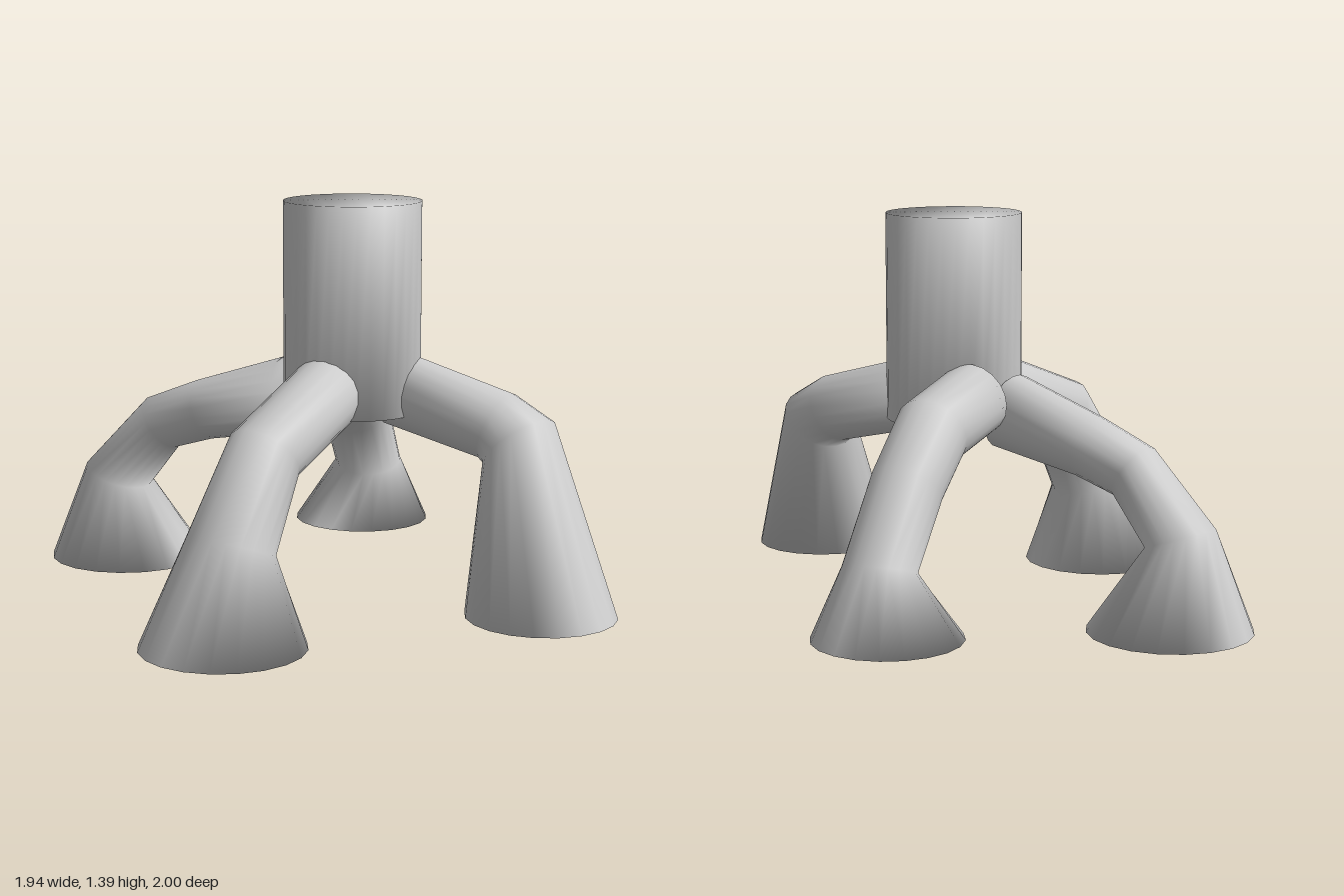
import * as THREE from 'three';

const material = new THREE.MeshStandardMaterial({ color: 0xcccccc });
const DOWN = new THREE.Vector3(0, -1, 0);

// Closed tube through rings [x, y, z, radius]; the last ring lies flat on the ground plane.
// Caps share the rim vertices, so shading stays soft across the edges.
function ringTube(name, rings, sides) {
  const centres = rings.map(([x, y, z]) => new THREE.Vector3(x, y, z));
  const last = rings.length - 1;
  const direction = (i) => centres[i + 1].clone().sub(centres[i]).normalize();
  const normals = centres.map((_, i) => {
    if (i === 0) return direction(0);
    if (i === last) return DOWN.clone();
    return direction(i - 1).add(direction(i)).normalize();
  });

  const positions = [];
  const index = [];

  // A frame carried along the path with the least twist
  let u = new THREE.Vector3(0, 0, 1).cross(normals[0]);
  if (u.length() < 0.1) u.set(1, 0, 0);
  u.normalize();
  const turn = new THREE.Quaternion();
  rings.forEach(([, , , radius], k) => {
    if (k > 0) u.applyQuaternion(turn.setFromUnitVectors(normals[k - 1], normals[k]));
    const v = normals[k].clone().cross(u);
    for (let i = 0; i < sides; i++) {
      const a = (i / sides) * Math.PI * 2;
      const p = centres[k].clone()
        .addScaledVector(u, radius * Math.cos(a))
        .addScaledVector(v, radius * Math.sin(a));
      positions.push(p.x, p.y, p.z);
    }
  });

  // Wall
  for (let k = 0; k < last; k++) {
    for (let i = 0; i < sides; i++) {
      const j = (i + 1) % sides;
      const a = k * sides + i, b = k * sides + j;
      index.push(a, b, b + sides, a, b + sides, a + sides);
    }
  }
  // Flat caps, filled by a zigzag strip between rim vertices
  const cap = (base, flip) => {
    const tri = (a, b, c) => index.push(base + a, base + (flip ? c : b), base + (flip ? b : c));
    let lo = 0, hi = sides - 1;
    while (hi - lo > 1) {
      tri(lo, lo + 1, hi);
      lo++;
      if (hi - lo > 1) {
        tri(lo, hi - 1, hi);
        hi--;
      }
    }
  };
  cap(0, true);
  cap(last * sides, false);

  const geometry = new THREE.BufferGeometry();
  geometry.setAttribute('position', new THREE.Float32BufferAttribute(positions, 3));
  geometry.setIndex(index);
  geometry.computeVertexNormals();
  const mesh = new THREE.Mesh(geometry, material);
  mesh.name = name;
  return mesh;
}

// Each leg runs from the body, over the knee, to a flared foot
const LEGS = {
  frontRightLeg: [
    [0.03, 0.75, 0.22, 0.13],
    [-0.2, 0.605, 0.57, 0.13],
    [-0.31, 0.33, 0.68, 0.15],
    [-0.34, 0, 0.72, 0.28],
  ],
  frontLeftLeg: [
    [0.28, 0.735, 0.1, 0.13],
    [0.6, 0.64, 0.3, 0.125],
    [0.67, 0.59, 0.35, 0.14],
    [0.715, 0.06, 0.61, 0.255],
  ],
  backRightLeg: [
    [-0.09, 0.7, -0.01, 0.135],
    [-0.39, 0.615, -0.18, 0.11],
    [-0.55, 0.55, -0.27, 0.105],
    [-0.715, 0.345, -0.36, 0.125],
    [-0.685, 0.03, -0.375, 0.285],
  ],
  backLeftLeg: [
    [0.02, 0.76, -0.13, 0.13],
    [0.12, 0.695, -0.4, 0.13],
    [0.175, 0.54, -0.575, 0.125],
    [0.235, 0.3, -0.74, 0.125],
    [0.21, 0.07, -0.745, 0.255],
  ],
};

export function createModel() {
  const model = new THREE.Group();
  model.name = 'fourLeggedStand';

  // Upright cylinder body
  model.add(ringTube('body', [[0.12, 1.39, 0.07, 0.24], [0.12, 0.66, 0.07, 0.24]], 32));

  for (const [name, rings] of Object.entries(LEGS)) {
    model.add(ringTube(name, rings, 20));
  }
  return model;
}
